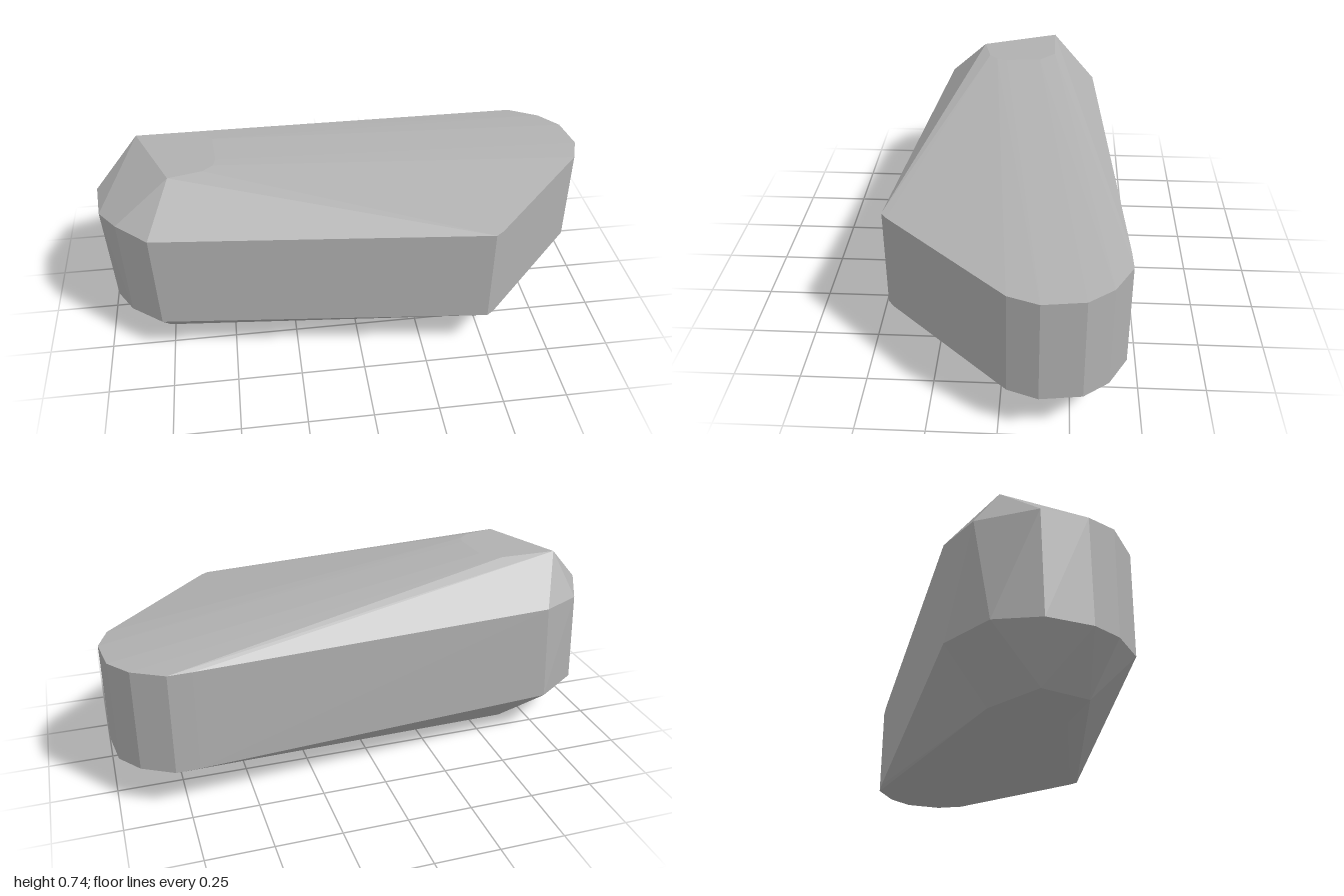
import * as THREE from 'three';
import { ConvexGeometry } from 'three/addons/geometries/ConvexGeometry.js';

export function createModel() {
  const group = new THREE.Group();
  group.name = 'stone';
  const stoneGrey = new THREE.MeshStandardMaterial({ color: 0xb0b0b0 });
  stoneGrey.name = 'stone grey';

  // Outline shared by the upper and lower rims: back right round to front left (x, z)
  const sharedRim = [
    [0.7, -0.444], [0.79, -0.447], [0.91, -0.38], [0.98, -0.29], [1, -0.14],
    [0.96, -0.03], [0.53, 0.425], [0.5, 0.447],
  ];
  // The narrow end differs slightly between the two rims
  const upperEnd = [[-0.79, 0.315], [-0.98, 0.11], [-1, -0.06], [-0.89, -0.265], [-0.73, -0.345]];
  const lowerEnd = [[-0.78, 0.315], [-0.9, 0.22], [-0.96, 0.12], [-0.99, -0.05], [-0.94, -0.215], [-0.755, -0.338]];

  // Small flat crown and base near the narrow end
  const crown = [[-0.83, -0.165], [-0.7, 0.155], [-0.57, 0.125], [-0.53, 0.09], [-0.52, 0.05], [-0.53, -0.1], [-0.6, -0.165]];
  const base = [[-0.83, -0.03], [-0.77, 0.15], [-0.57, 0.125], [-0.53, 0.09], [-0.52, 0.05], [-0.53, -0.1], [-0.64, -0.172]];

  const level = (pts, y) => pts.map(([x, z]) => new THREE.Vector3(x, y, z));
  const points = [
    ...level(base, 0),
    ...level([...sharedRim, ...lowerEnd], 0.17),
    ...level([...sharedRim, ...upperEnd], 0.57),
    new THREE.Vector3(-0.91, 0.585, 0.22), // raised corner of the upper rim
    ...level(crown, 0.74),
  ];

  // Faceted solid wrapped round the four levels
  const body = new THREE.Mesh(new ConvexGeometry(points), stoneGrey);
  body.name = 'stoneBody';
  group.add(body);
  return group;
}
